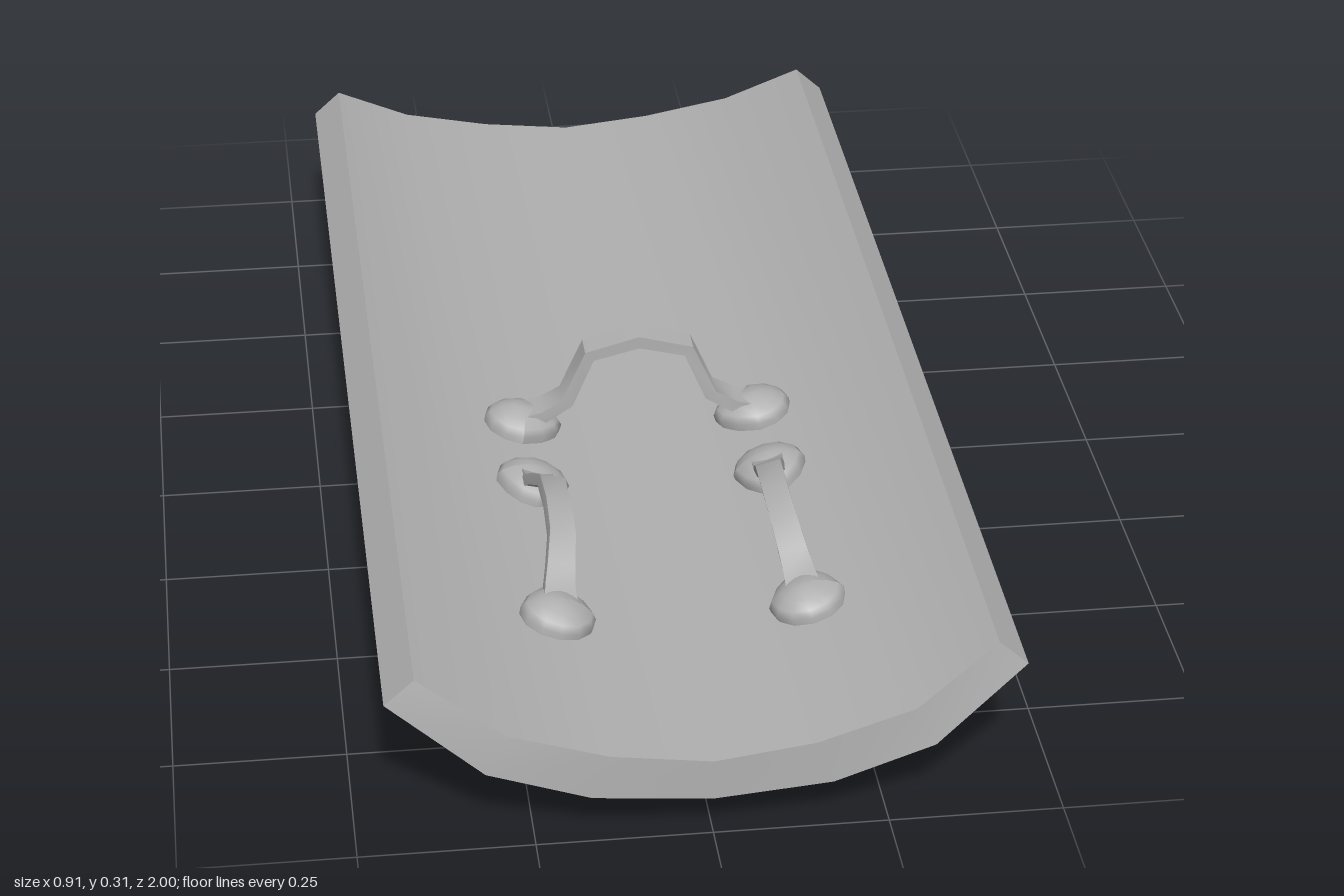
import * as THREE from 'three';
import { toCreasedNormals } from 'three/addons/utils/BufferGeometryUtils.js';

const steel = new THREE.MeshStandardMaterial({ color: 0xb0b0b0 });
steel.name = 'grey steel';

function part(name, geometry, parent) {
  const mesh = new THREE.Mesh(geometry, steel);
  mesh.name = name;
  parent.add(mesh);
  return mesh;
}

// Curved plate: one thick arc section carried between two bowed ends.
function plateGeometry() {
  const half = (pts) => [...pts.slice(1).reverse().map(([x, y]) => [-x, y]), ...pts];
  const outer = half([[0, 0.06], [0.17, 0.072], [0.317, 0.112], [0.453, 0.208]]);
  const inner = half([[0, 0.123], [0.145, 0.14], [0.288, 0.175], [0.41, 0.247]]);
  const ends = [0.935, 0.98, 0.996, 1, 0.996, 0.98, 0.935];
  const n = outer.length, total = n * 2;
  const pos = [], idx = [];
  for (const side of [1, -1]) {
    for (let i = 0; i < total; i++) {
      const k = i < n ? i : total - 1 - i;
      const [x, y] = i < n ? outer[k] : inner[k];
      pos.push(x, y, side * ends[k]);
    }
  }
  const quad = (a, b, c, d) => idx.push(a, b, c, a, c, d);
  for (let i = 0; i < total; i++) {
    const j = (i + 1) % total;
    quad(i, i + total, j + total, j);
  }
  for (let k = 0; k < n - 1; k++) {
    const a = k, b = k + 1, c = total - 2 - k, d = total - 1 - k;
    quad(a, b, c, d);
    quad(d + total, c + total, b + total, a + total);
  }
  const geo = new THREE.BufferGeometry();
  geo.setAttribute('position', new THREE.Float32BufferAttribute(pos, 3));
  geo.setIndex(idx);
  return toCreasedNormals(geo, 0.7);
}

// Bent strap: a centre line thickened in its plane, wider near the feet.
function strapGeometry(halfLine, thick, width) {
  const line = [...halfLine, ...halfLine.slice(0, -1).reverse().map(([x, y]) => [-x, y])]
    .map(([x, y]) => new THREE.Vector2(x, y));
  const top = [], under = [];
  line.forEach((p, i) => {
    const dir = line[Math.min(i + 1, line.length - 1)].clone().sub(line[Math.max(i - 1, 0)]).normalize();
    const off = new THREE.Vector2(-dir.y, dir.x).multiplyScalar(thick / 2);
    top.push(p.clone().add(off));
    under.unshift(p.clone().sub(off));
  });
  const geo = new THREE.ExtrudeGeometry(new THREE.Shape([...top, ...under]), { depth: width, bevelEnabled: false });
  geo.translate(0, 0, -width / 2);
  const p = geo.attributes.position;
  const reach = Math.abs(halfLine[0][0]);
  for (let i = 0; i < p.count; i++) {
    p.setZ(i, p.getZ(i) * (1 + 0.35 * Math.pow(Math.abs(p.getX(i)) / reach, 3)));
  }
  return toCreasedNormals(geo, 0.8);
}

// Domed foot, drawn out toward +x where the strap joins.
function footGeometry() {
  const profile = [[0.054, -0.015], [0.057, 0.01], [0.05, 0.02], [0.034, 0.03], [0.016, 0.036], [0, 0.037]];
  const geo = new THREE.LatheGeometry(profile.map(([x, y]) => new THREE.Vector2(x, y)), 12);
  const p = geo.attributes.position;
  for (let i = 0; i < p.count; i++) {
    const x = p.getX(i);
    if (x > 0) {
      p.setX(i, x * 1.15);
      p.setZ(i, p.getZ(i) * (1 - 4 * x));
    }
  }
  geo.computeVertexNormals();
  return geo;
}

function makeHandle(name, halfLine, thick, width, reach, footY, footTilt) {
  const handle = new THREE.Group();
  handle.name = name;
  part('strap', strapGeometry(halfLine, thick, width), handle);
  for (const side of [-1, 1]) {
    const mount = new THREE.Group();
    mount.name = 'footMount';
    mount.position.set(side * reach, footY, 0);
    mount.rotation.z = side * footTilt;
    part('foot', footGeometry(), mount).rotation.y = side > 0 ? Math.PI : 0;
    handle.add(mount);
  }
  return handle;
}

export function createModel() {
  const shield = new THREE.Group();
  shield.name = 'shield';
  part('plate', plateGeometry(), shield);

  // Tall handle across the plate
  const cross = makeHandle('crossHandle',
    [[-0.185, 0.17], [-0.15, 0.178], [-0.113, 0.2], [-0.078, 0.28], [0, 0.3]],
    0.02, 0.042, 0.187, 0.152, 0.2);
  cross.position.z = 0.1;
  shield.add(cross);

  // Two low handles along the plate, leaning inward with its curve
  for (const side of [-1, 1]) {
    const mount = new THREE.Group();
    mount.name = side > 0 ? 'leftHandleMount' : 'rightHandleMount';
    mount.position.set(side * 0.185, 0.15, 0.468);
    mount.rotation.z = side * 0.26;
    const handle = makeHandle('lengthHandle',
      [[-0.19, 0.02], [-0.15, 0.03], [-0.12, 0.05], [-0.075, 0.076], [0, 0.082]],
      0.018, 0.038, 0.188, 0, 0);
    handle.rotation.y = Math.PI / 2;
    mount.add(handle);
    shield.add(mount);
  }

  // Boss on the outer face, with a small central tip
  const bossProfile = [[0, 0.002], [0.008, 0.005], [0.014, 0.012], [0.036, 0.014],
    [0.062, 0.027], [0.08, 0.048], [0.095, 0.062], [0.098, 0.075]];
  const boss = part('boss', new THREE.LatheGeometry(
    bossProfile.map(([x, y]) => new THREE.Vector2(x, y)), 16), shield);
  boss.position.z = 0.24;

  return shield;
}
